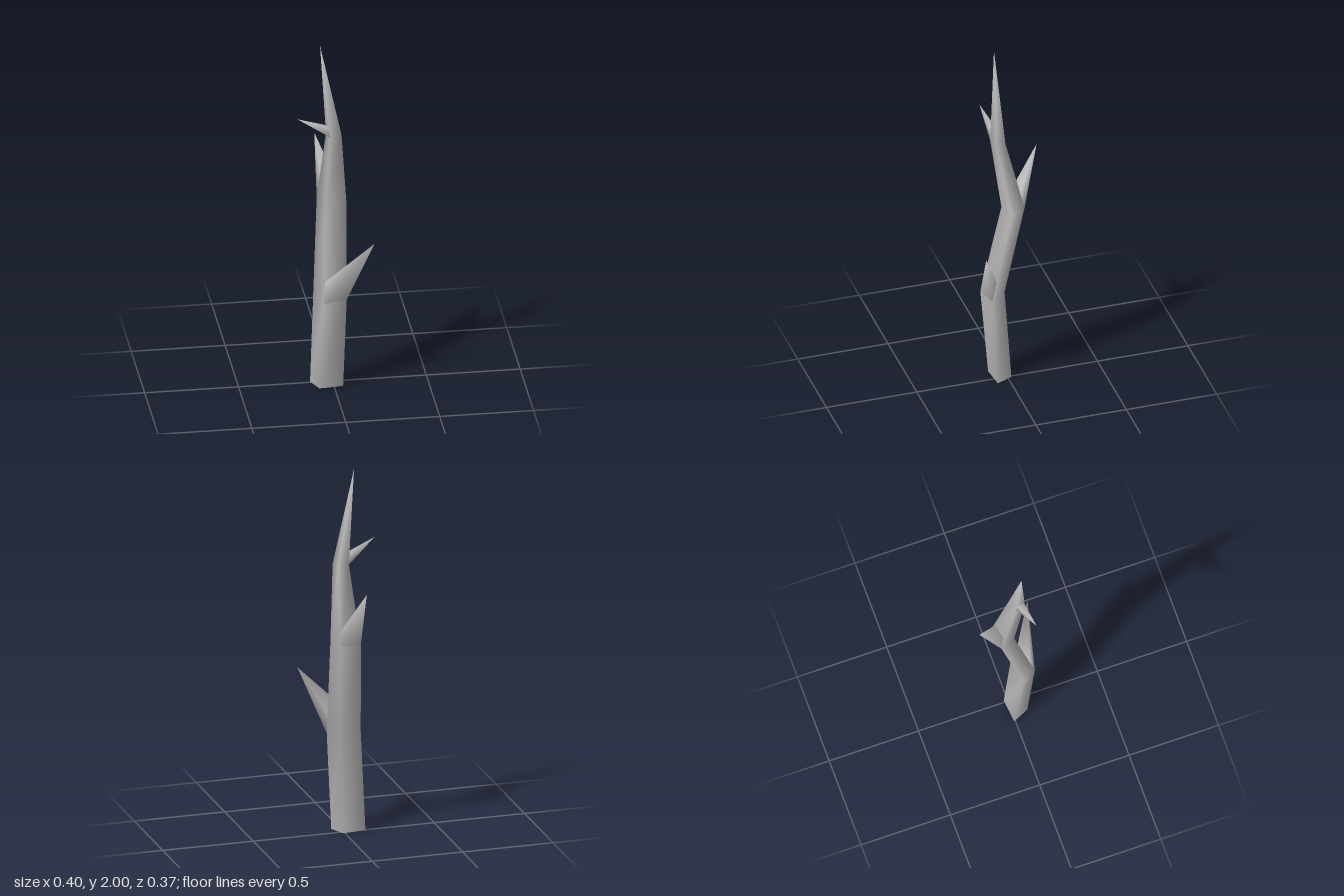
import * as THREE from 'three';

// Four-sided trunk joint: centre plus two half diagonals, ordered right, front, left, back
function joint(x, y, z, qx, qz, px, pz, tilt = 0) {
  return [
    [x + qx, y - tilt / 2, z + qz],
    [x - px, y - tilt, z - pz],
    [x - qx, y + tilt / 2, z - qz],
    [x + px, y + tilt, z + pz],
  ];
}

// Smooth skin through four-point rings, closed to a point at the tip
function spike(rings, tip) {
  const index = [];
  rings.forEach((ring, r) => {
    for (let i = 0; i < 4; i++) {
      const a = r * 4 + i, b = r * 4 + (i + 1) % 4;
      if (r < rings.length - 1) index.push(b, a, a + 4, b, a + 4, b + 4);
      else index.push(b, a, rings.length * 4);
    }
  });
  const geometry = new THREE.BufferGeometry();
  geometry.setAttribute('position', new THREE.Float32BufferAttribute([...rings.flat(2), ...tip], 3));
  geometry.setIndex(index);
  geometry.computeVertexNormals();
  return geometry;
}

export function createModel() {
  const group = new THREE.Group();
  const bark = new THREE.MeshStandardMaterial({ color: 0xb8b8b8 });
  bark.name = 'grey bark';
  const add = (name, geometry) => {
    const mesh = new THREE.Mesh(geometry, bark);
    mesh.name = name;
    group.add(mesh);
  };

  // Crooked trunk, bending at each joint
  const base = joint(-0.035, 0, 0.03, 0.083, 0.037, 0.045, -0.05);
  const low = joint(-0.0235, 0.53, 0.074, 0.0855, 0.027, 0.038, -0.055, 0.012);
  const middle = joint(0, 1.05, -0.032, 0.075, 0.03, 0.041, -0.051, 0.012);
  const high = joint(0, 1.475, 0.052, 0.039, 0.019, 0.025, -0.034);
  add('trunk', spike([base, low, middle, high], [-0.073, 2, 0.05]));

  // Flat cut at the foot
  const cut = new THREE.BufferGeometry();
  cut.setAttribute('position', new THREE.Float32BufferAttribute(base.flat(), 3));
  cut.setIndex([0, 1, 2, 0, 2, 3]);
  cut.computeVertexNormals();
  add('trunkCut', cut);

  // Front branch, growing from the front face above the low joint
  add('frontBranch', spike([[low[0], low[1], [-0.055, 0.635, 0.105], [0.04, 0.6, 0.06]]], [0.2, 0.88, 0.18]));

  // Back branch, growing out of the middle joint
  add('backBranch', spike([middle], [-0.07, 1.375, -0.185]));

  // Small twig near the top
  const twig = [[0.034, 1.5, 0.07], high[1], high[2], [0.02, 1.5, 0.022]];
  add('topTwig', spike([twig], [-0.2, 1.595, 0.09]));

  return group;
}
